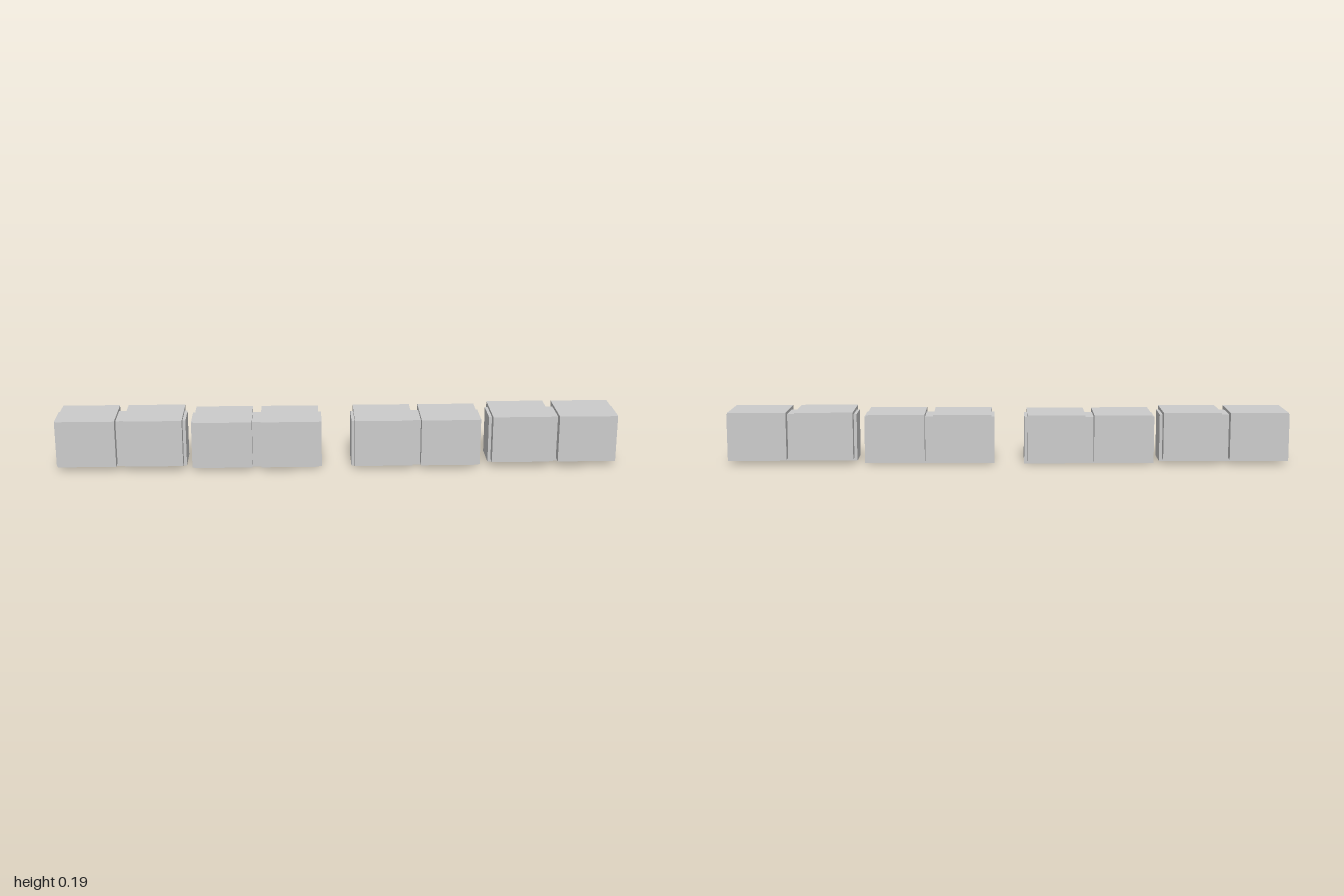
import * as THREE from 'three';

const material = new THREE.MeshStandardMaterial({ color: 0xcccccc, flatShading: true });

function block(name, w, h, d, x, y) {
  const mesh = new THREE.Mesh(new THREE.BoxGeometry(w, h, d), material);
  mesh.name = name;
  mesh.position.set(x, y + h / 2, 0);
  return mesh;
}

// One segment: a long narrow core carrying two wider blocks
function createSegment(name) {
  const segment = new THREE.Group();
  segment.name = name;
  segment.add(block('core', 0.462, 0.168, 0.115, 0, 0));
  for (const side of [-1, 1]) {
    segment.add(block(side < 0 ? 'rightBlock' : 'leftBlock', 0.205, 0.168, 0.191, side * 0.118, 0.011));
  }
  return segment;
}

export function createModel() {
  const model = new THREE.Group();
  model.name = 'segmentedRow';
  // Segment centres and their slightly uneven heights
  const places = [
    ['outerRightSegment', -0.769, 0.008],
    ['innerRightSegment', -0.288, 0],
    ['innerLeftSegment', 0.28, 0.001],
    ['outerLeftSegment', 0.769, 0.01],
  ];
  for (const [name, x, y] of places) {
    const segment = createSegment(name);
    segment.position.set(x, y, 0);
    model.add(segment);
  }
  return model;
}
